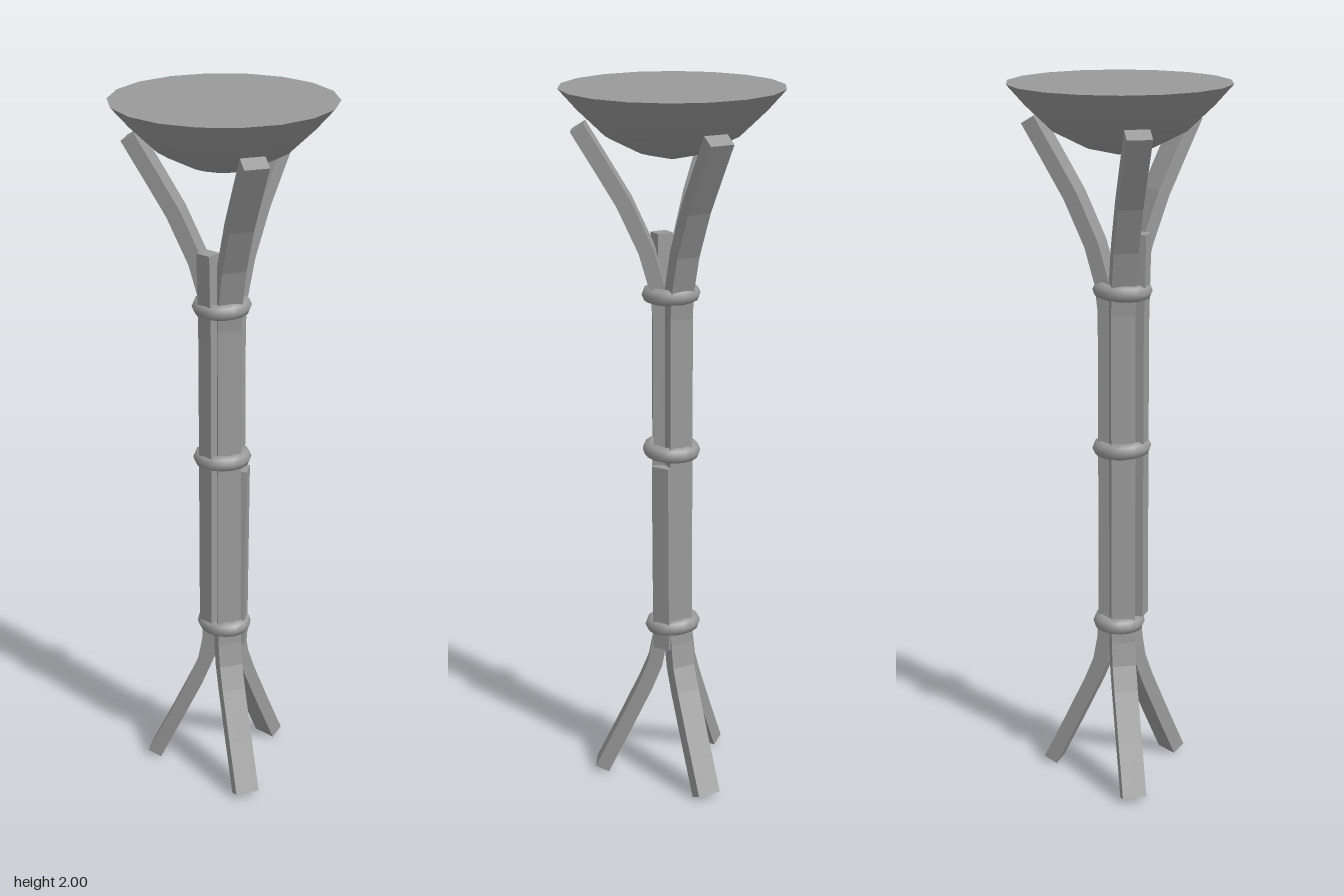
import * as THREE from 'three';

const material = new THREE.MeshStandardMaterial({ color: 0x9a9a9a });

// Flat bar: a path in the (radius, height) plane, thickened and given a width
function bar(name, points, thickness, width, angle) {
  const path = points.map(p => new THREE.Vector2(...p));
  const inner = [], outer = [];
  path.forEach((p, i) => {
    const a = path[Math.max(i - 1, 0)], b = path[Math.min(i + 1, path.length - 1)];
    const t = b.clone().sub(a).normalize();
    const n = new THREE.Vector2(t.y, -t.x).multiplyScalar(thickness / 2);
    outer.push(p.clone().add(n));
    inner.unshift(p.clone().sub(n));
  });
  const shape = new THREE.Shape([...outer, ...inner]);
  const geometry = new THREE.ExtrudeGeometry(shape, { depth: width, bevelEnabled: false });
  geometry.translate(0, 0, -width / 2);
  const mesh = new THREE.Mesh(geometry, material);
  mesh.name = name;
  mesh.rotation.y = THREE.MathUtils.degToRad(angle);
  return mesh;
}

export function createModel() {
  const group = new THREE.Group();

  // Three posts that splay into feet below and arms above
  const post = [
    [0.205, 0.01], [0.14, 0.145], [0.077, 0.28], [0.049, 0.35], [0.036, 0.42], [0.031, 0.5],
    [0.031, 1.38], [0.04, 1.46], [0.07, 1.565], [0.13, 1.695], [0.19, 1.795], [0.251, 1.895],
  ];
  for (const angle of [0, 120, 240]) group.add(bar('post', post, 0.042, 0.068, angle));

  // Filler sticks lying between the posts
  group.add(bar('longStick', [[0.056, 0.5], [0.056, 1.35], [0.062, 1.6]], 0.042, 0.046, 180));
  group.add(bar('shortStick', [[0.044, 0.41], [0.049, 0.96]], 0.042, 0.052, -58));

  // Binding rings, slightly tilted
  const rings = [
    { y: 0.472, x: 0.002, rx: 0.053, tilt: 0.04 },
    { y: 0.995, x: -0.006, rx: 0.06, tilt: -0.04 },
    { y: 1.441, x: -0.008, rx: 0.06, tilt: 0.03 },
  ];
  for (const { y, x, rx, tilt } of rings) {
    const geometry = new THREE.TorusGeometry(1, 0.38, 8, 16);
    geometry.rotateX(Math.PI / 2);
    const ring = new THREE.Mesh(geometry, material);
    ring.name = 'bindingRing';
    ring.scale.set(rx, 0.06, 0.058);
    ring.position.set(x, y, 0);
    ring.rotation.set(tilt / 2, 0, tilt);
    group.add(ring);
  }

  // Bowl with a closed flat top
  const profile = [
    [0, 1.808], [0.095, 1.831], [0.18, 1.874], [0.254, 1.945], [0.303, 2],
  ].map(p => new THREE.Vector2(...p));
  const bowl = new THREE.Mesh(new THREE.LatheGeometry(profile, 18), material);
  bowl.name = 'bowl';
  group.add(bowl);

  const lid = new THREE.Mesh(new THREE.CircleGeometry(0.303, 18, Math.PI / 2), material);
  lid.name = 'bowlTop';
  lid.rotation.x = -Math.PI / 2;
  lid.position.y = 2;
  group.add(lid);

  return group;
}
